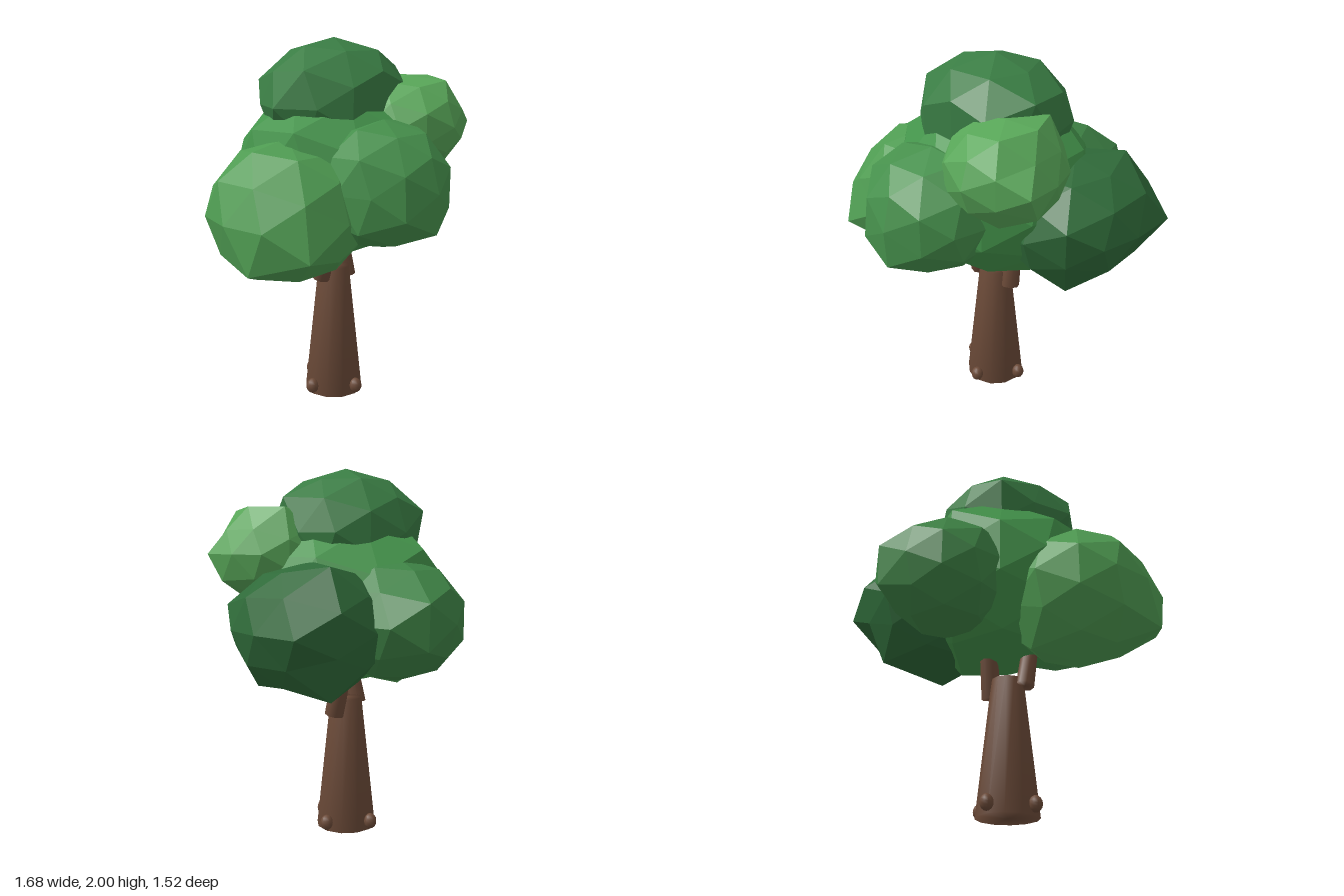
import * as THREE from 'three';
import { mergeVertices } from 'three/addons/utils/BufferGeometryUtils.js';

// faceted leaf clump: a stretched icosphere; each pull [x, y, z, scale] moves the corner in that direction
function clump(name, color, center, radii, pulls) {
  const g = new THREE.IcosahedronGeometry(1, 1);
  const pos = g.attributes.position;
  const v = new THREE.Vector3();
  const directions = pulls.map(([x, y, z]) => new THREE.Vector3(x, y, z).normalize());
  for (let i = 0; i < pos.count; i++) {
    v.fromBufferAttribute(pos, i);
    const hit = directions.findIndex((d) => d.dot(v) > 0.97);
    if (hit >= 0) v.multiplyScalar(pulls[hit][3]);
    pos.setXYZ(i, v.x, v.y, v.z);
  }
  g.scale(...radii);
  g.computeVertexNormals();
  const mesh = new THREE.Mesh(g, new THREE.MeshStandardMaterial({ color, flatShading: true }));
  mesh.position.set(...center);
  mesh.name = name;
  return mesh;
}

// tapered limb between two points, shaded softly over its ends
function limb(name, material, from, to, r0, r1, sides) {
  const a = new THREE.Vector3(...from), b = new THREE.Vector3(...to);
  const dir = b.clone().sub(a);
  const raw = new THREE.CylinderGeometry(r1, r0, dir.length(), sides);
  raw.deleteAttribute('normal');
  raw.deleteAttribute('uv');
  const g = mergeVertices(raw);
  g.computeVertexNormals();
  const mesh = new THREE.Mesh(g, material);
  mesh.position.copy(a).add(b).multiplyScalar(0.5);
  mesh.quaternion.setFromUnitVectors(new THREE.Vector3(0, 1, 0), dir.normalize());
  mesh.name = name;
  return mesh;
}

export function createModel() {
  const tree = new THREE.Group();
  tree.name = 'tree';
  const bark = new THREE.MeshStandardMaterial({ color: 0x6b4a38 });

  // trunk and the two branches rising into the crown
  tree.add(limb('trunk', bark, [-0.005, 0, 0.003], [-0.005, 0.745, 0.003], 0.168, 0.088, 12));
  tree.add(limb('leftBranch', bark, [0.1, 0.66, 0], [0.08, 1.1, -0.08], 0.055, 0.045, 8));
  tree.add(limb('rightBranch', bark, [-0.115, 0.695, 0.01], [-0.11, 1.1, 0.11], 0.05, 0.042, 8));

  // small root knobs around the foot
  for (let i = 0; i < 4; i++) {
    const a = (i * Math.PI) / 2;
    const knob = new THREE.Mesh(new THREE.SphereGeometry(0.036, 10, 8), bark);
    knob.scale.y = 1.2;
    knob.position.set(Math.cos(a) * 0.174 - 0.004, 0.053, Math.sin(a) * 0.174);
    knob.name = 'rootKnob';
    tree.add(knob);
  }

  // crown
  const crown = new THREE.Group();
  crown.name = 'crown';
  crown.add(
    clump('coreLeaves', 0x44944b, [0, 1.3, 0], [0.54, 0.48, 0.54], [
      [0, -1, 0, 0.94], [-0.81, 0.5, 0.31, 1.08], [0, 0.53, -0.85, 1.1], [0.53, -0.85, 0, 1.1]
    ]),
    clump('rightLeaves', 0x4f9c52, [-0.42, 1.15, 0.08], [0.42, 0.37, 0.42], [
      [-0.81, -0.5, 0.31, 1.2], [-0.85, 0, 0.53, 1.1], [-0.5, -0.31, 0.81, 1.22], [0.31, -0.81, -0.5, 1.15],
      [-0.53, 0.85, 0, 1.04]
    ]),
    clump('leftLeaves', 0x2f6a39, [0.42, 1.19, -0.12], [0.4, 0.33, 0.42], [
      [0.85, 0, -0.53, 1.22], [0.31, -0.81, -0.5, 1.22], [0.31, 0.81, -0.5, 1.18], [0.5, 0.31, 0.81, 1.1],
      [0.81, 0.5, -0.31, 1.06], [0.5, 0.31, -0.81, 1.12], [0.31, -0.81, 0.5, 1.15]
    ]),
    clump('backLeaves', 0x3f8446, [0.08, 1.22, -0.4], [0.36, 0.32, 0.36], [
      [0.5, 0.31, -0.81, 1.18], [0.5, -0.31, -0.81, 1.15], [0.85, 0, -0.53, 1.15], [0, 0.53, -0.85, 1.04]
    ]),
    clump('frontLeaves', 0x46904c, [-0.07, 1.28, 0.41], [0.36, 0.33, 0.35], [
      [0, -0.53, 0.85, 1.15], [-0.81, -0.5, 0.31, 1.1], [-0.81, 0.5, 0.31, 1.08], [-0.5, -0.31, 0.81, 1.08],
      [-0.53, 0.85, 0, 1.06], [0.53, 0.85, 0, 1.08]
    ]),
    clump('topLeaves', 0x3a7d44, [0, 1.66, 0], [0.4, 0.34, 0.4], [
      [-1, 0, 0, 1.1], [1, 0, 0, 0.95], [0, 0, 1, 0.85], [-0.5, 0.31, -0.81, 1.1], [-0.81, 0.5, 0.31, 1.1],
      [0.81, 0.5, 0.31, 1.08], [0.85, 0, 0.53, 0.92], [-0.53, 0.85, 0, 1.03], [0.53, 0.85, 0, 0.95]
    ]),
    clump('upperLeaves', 0x58a658, [0.28, 1.55, 0.27], [0.31, 0.25, 0.32], [
      [0.53, 0.85, 0, 1.15], [-0.53, 0.85, 0, 1.06], [0.31, 0.81, -0.5, 1.2], [0.31, 0.81, 0.5, 1.12],
      [0.81, -0.5, 0.31, 1.12], [0.85, 0, 0.53, 1.15], [0.31, -0.81, 0.5, 1.08]
    ])
  );
  tree.add(crown);
  return tree;
}
